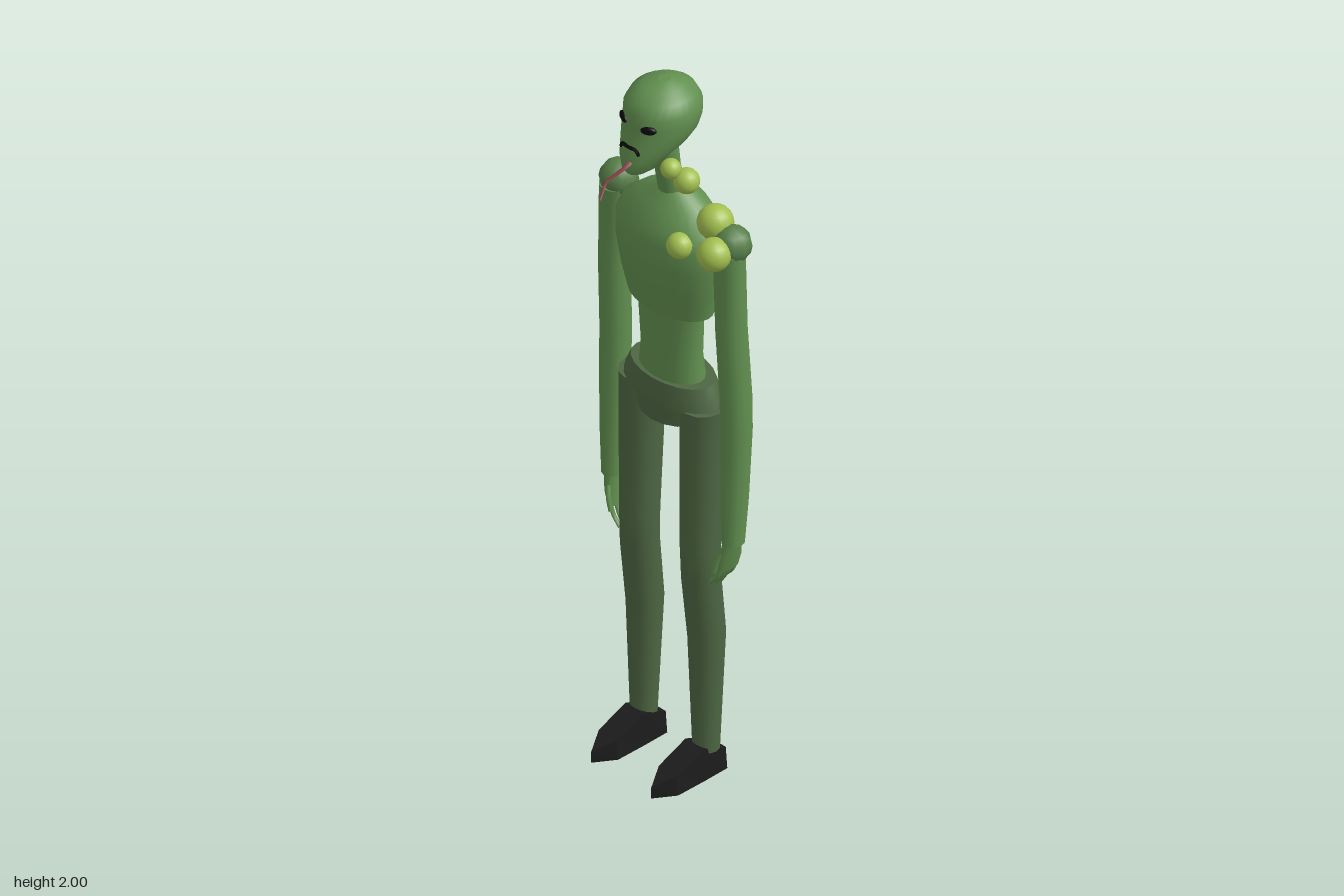
import * as THREE from 'three';

const mat = (name, color, extra = {}) => Object.assign(new THREE.MeshStandardMaterial({ color, ...extra }), { name });

// Skin stretched over elliptical rings [y, centreX, centreZ, radiusX, radiusZ], lowest first, with flat caps
function loft(rings, n) {
  const pos = [], idx = [];
  const addRing = ([y, cx, cz, rx, rz]) => {
    const start = pos.length / 3;
    for (let i = 0; i < n; i++) {
      const a = (i / n) * Math.PI * 2;
      pos.push(cx + rx * Math.sin(a), y, cz + rz * Math.cos(a));
    }
    return start;
  };
  rings.forEach(addRing);
  for (let j = 0; j < rings.length - 1; j++) {
    for (let i = 0; i < n; i++) {
      const k = (i + 1) % n, a = j * n + i, b = j * n + k;
      idx.push(a, b, b + n, a, b + n, a + n);
    }
  }
  for (const top of [false, true]) {
    const ring = top ? rings[rings.length - 1] : rings[0];
    const s = addRing(ring), c = pos.length / 3;
    pos.push(ring[1], ring[0], ring[2]);
    for (let i = 0; i < n; i++) {
      const k = (i + 1) % n;
      idx.push(c, top ? s + i : s + k, top ? s + k : s + i);
    }
  }
  const g = new THREE.BufferGeometry();
  g.setAttribute('position', new THREE.Float32BufferAttribute(pos, 3));
  g.setIndex(idx);
  g.computeVertexNormals();
  return g;
}

// Pentagonal pointed shoe whose top follows a slope
function shoeGeometry() {
  const shape = new THREE.Shape([
    [-0.036, 0.125], [0.036, 0.125], [0.037, 0.05], [0.036, -0.04],
    [0, -0.095], [-0.036, -0.04], [-0.037, 0.05],
  ].map(([x, y]) => new THREE.Vector2(x, y)));
  const g = new THREE.ExtrudeGeometry(shape, { depth: 1, bevelEnabled: false });
  g.rotateX(-Math.PI / 2);
  const p = g.attributes.position;
  for (let i = 0; i < p.count; i++) {
    if (p.getY(i) < 0.5) continue;
    const z = p.getZ(i);
    p.setY(i, z < -0.1 ? 0.06 : 0.09 - (z + 0.05) * 0.4);
    p.setX(i, p.getX(i) * 0.85);
  }
  g.computeVertexNormals();
  return g;
}

export function createModel() {
  const model = new THREE.Group();
  const skin = mat('green skin', 0x629050);
  const joint = mat('dark green skin', 0x587f4a);
  const cloth = mat('dark green trousers', 0x4e6743);
  const bulbMat = mat('yellow green bulbs', 0xa3c050);
  const black = mat('black', 0x1c1c1c);
  const dark = mat('face black', 0x080808);
  const red = mat('tongue red', 0x8c404a);

  const add = (name, geo, material, x = 0, y = 0, z = 0) => {
    const m = new THREE.Mesh(geo, material);
    m.name = name;
    m.position.set(x, y, z);
    model.add(m);
    return m;
  };
  const v = (x, y, z) => new THREE.Vector3(x, y, z);
  const tube = (pts, r, seg = 8, sides = 6) =>
    new THREE.TubeGeometry(new THREE.CatmullRomCurve3(pts), seg, r, sides);

  // Head and neck
  add('head', loft([
    [1.778, 0, 0.036, 0.026, 0.036], [1.79, 0, 0.027, 0.04, 0.054],
    [1.82, 0, 0.01, 0.056, 0.073], [1.85, 0, -0.018, 0.076, 0.09],
    [1.88, 0, -0.036, 0.088, 0.1], [1.91, 0, -0.044, 0.093, 0.101],
    [1.94, 0, -0.045, 0.092, 0.1], [1.97, 0, -0.046, 0.077, 0.084],
    [1.99, 0, -0.048, 0.049, 0.054], [2.0, 0, -0.05, 0.015, 0.016],
  ], 28), skin);
  add('neck', loft([[1.65, 0, -0.08, 0.036, 0.036], [1.74, 0, -0.06, 0.033, 0.033],
    [1.86, 0, -0.045, 0.034, 0.034]], 14), skin);

  // Eyes, mouth and tongue
  for (const s of [-1, 1]) {
    const eye = add('eye', new THREE.SphereGeometry(1, 14, 10), dark, s * 0.043, 1.912, 0.045);
    eye.scale.set(0.021, 0.011, 0.009);
    eye.rotation.set(0, s * 0.45, s * 0.12);
  }
  add('mouth', tube([v(-0.03, 1.842, 0.065), v(-0.022, 1.856, 0.069), v(0, 1.858, 0.073),
    v(0.022, 1.856, 0.069), v(0.03, 1.842, 0.065)], 0.005, 12), dark);
  const tongue = new THREE.CurvePath();
  const bends = [v(0.005, 1.832, 0.05), v(0.014, 1.815, 0.09), v(-0.008, 1.782, 0.14), v(0.004, 1.75, 0.17)];
  for (let i = 0; i < 3; i++) tongue.add(new THREE.LineCurve3(bends[i], bends[i + 1]));
  const tongueGeo = new THREE.TubeGeometry(tongue, 12, 0.009, 6);
  const tp = tongueGeo.attributes.position;
  for (let i = 0; i < tp.count; i++) {
    // Flatten and taper towards the tip
    const t = Math.floor(i / 7) / 12, c = tongue.getPointAt(t);
    const k = 1 - 0.65 * t;
    tp.setXYZ(i, c.x + (tp.getX(i) - c.x) * k, c.y + (tp.getY(i) - c.y) * k * 0.5, c.z + (tp.getZ(i) - c.z) * k);
  }
  tongueGeo.computeVertexNormals();
  add('tongue', tongueGeo, mat('tongue red', 0x8c404a, { side: THREE.DoubleSide }).copy(red)).material.side = THREE.DoubleSide;

  // Torso
  add('chest', loft([
    [1.345, 0, -0.072, 0.13, 0.074], [1.42, 0, -0.07, 0.148, 0.087],
    [1.5, 0, -0.069, 0.163, 0.095], [1.56, 0, -0.071, 0.165, 0.095],
    [1.6, 0, -0.078, 0.148, 0.088], [1.64, 0, -0.084, 0.1, 0.066],
    [1.675, 0, -0.083, 0.042, 0.038],
  ], 28), skin);
  add('waist', loft([[1.08, 0, -0.078, 0.105, 0.065], [1.2, 0, -0.075, 0.09, 0.058],
    [1.36, 0, -0.072, 0.1, 0.06]], 20), skin);

  // Hips
  add('belt', loft([[1.075, 0, -0.082, 0.155, 0.083], [1.1, 0, -0.082, 0.147, 0.083],
    [1.14, 0, -0.08, 0.128, 0.074]], 20), cloth);
  add('crotch', loft([[1.018, 0, -0.08, 0.096, 0.076], [1.08, 0, -0.082, 0.108, 0.083]], 16), cloth);

  for (const s of [-1, 1]) {
    // Legs and shoes
    add('leg', loft([
      [0.07, s * 0.108, -0.085, 0.035, 0.034], [0.4, s * 0.107, -0.088, 0.047, 0.049],
      [0.58, s * 0.106, -0.07, 0.051, 0.049], [0.68, s * 0.105, -0.068, 0.053, 0.05],
      [1.0, s * 0.105, -0.077, 0.056, 0.06], [1.08, s * 0.107, -0.08, 0.057, 0.062],
    ], 12), cloth);
    add('shoe', shoeGeometry(), black, s * 0.104, 0, 0);

    // Arms
    add('shoulder', new THREE.SphereGeometry(0.05, 10, 8), joint, s * 0.196, 1.592, -0.087);
    add('arm', loft([
      [0.725, s * 0.208, -0.079, 0.027, 0.031], [0.85, s * 0.209, -0.083, 0.033, 0.037],
      [1.05, s * 0.21, -0.088, 0.038, 0.042], [1.15, s * 0.208, -0.088, 0.038, 0.042],
      [1.35, s * 0.203, -0.078, 0.039, 0.041], [1.58, s * 0.197, -0.076, 0.041, 0.041],
    ], 12), skin);

    // Hands
    add('palm', loft([
      [0.642, s * 0.191, -0.078, 0.012, 0.033], [0.68, s * 0.199, -0.078, 0.017, 0.034],
      [0.735, s * 0.206, -0.078, 0.021, 0.024],
    ], 10), skin);
    for (let i = 0; i < 4; i++) {
      const z = -0.053 - i * 0.017, tip = i === 0 || i === 3 ? 0.595 : 0.583;
      add('finger', tube([v(s * 0.193, 0.655, z), v(s * 0.18, 0.62, z), v(s * 0.157, tip, z)], 0.006, 6, 5), skin);
    }
    add('thumb', tube([v(s * 0.197, 0.7, -0.052), v(s * 0.187, 0.67, -0.043), v(s * 0.178, 0.638, -0.042)], 0.007, 6, 5), skin);
  }

  // Bulbs growing on the left shoulder and neck: x, y, z, radius
  for (const [x, y, z, r] of [
    [0.048, 1.77, -0.025, 0.026], [0.06, 1.72, -0.066, 0.033], [0.14, 1.63, -0.085, 0.046],
    [0.192, 1.587, -0.03, 0.043], [0.095, 1.575, -0.01, 0.034],
  ]) add('bulb', new THREE.SphereGeometry(r, 16, 12), bulbMat, x, y, z);

  return model;
}
